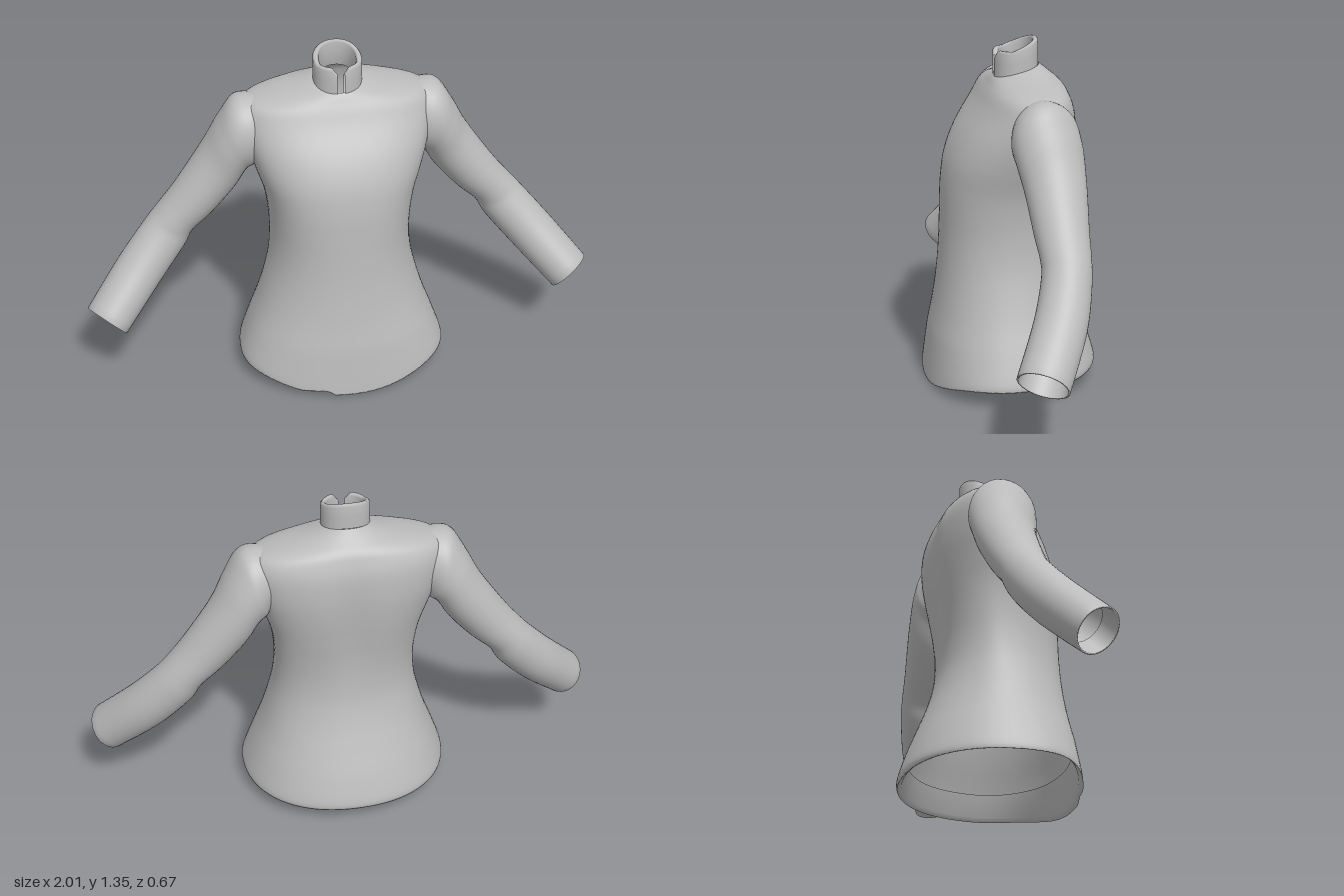
import * as THREE from 'three';

const SEG = 80;

// Smooth interpolation through rows of numbers
function smoothRows(rows, steps) {
  const out = [];
  const last = rows.length - 1;
  for (let i = 0; i < last; i++) {
    const a = rows[Math.max(i - 1, 0)], b = rows[i], c = rows[i + 1], d = rows[Math.min(i + 2, last)];
    for (let s = 0; s < steps; s++) {
      const t = s / steps, t2 = t * t, t3 = t2 * t;
      out.push(b.map((_, k) => 0.5 * (2 * b[k] + (c[k] - a[k]) * t
        + (2 * a[k] - 5 * b[k] + 4 * c[k] - d[k]) * t2 + (3 * b[k] - a[k] - 3 * c[k] + d[k]) * t3)));
    }
  }
  out.push(rows[last]);
  return out;
}

// Skin a list of loops; flip reverses the facing, closed joins each loop
function loft(loops, flip = false, closed = true) {
  const n = loops[0].length, index = [];
  for (let i = 0; i < loops.length - 1; i++) {
    for (let j = 0; j < (closed ? n : n - 1); j++) {
      const k = (j + 1) % n;
      const a = i * n + j, b = i * n + k, c = a + n, d = b + n;
      if (flip) index.push(a, b, c, b, d, c);
      else index.push(a, c, b, b, c, d);
    }
  }
  const geo = new THREE.BufferGeometry().setFromPoints(loops.flat());
  geo.setIndex(index);
  geo.computeVertexNormals();
  return geo;
}

const sgnPow = (v, p) => Math.sign(v) * Math.pow(Math.abs(v), p);

// Torso loop: y, half width, front z, back z, z of widest point, squareness, front/back tilt
function torsoLoop([y, w, zf, zb, zc, n, tilt]) {
  const pts = [];
  for (let j = 0; j < SEG; j++) {
    const t = j / SEG * Math.PI * 2, c = Math.cos(t), s = Math.sin(t);
    const x = w * sgnPow(c, 2 / n);
    let z = zc + (s > 0 ? zf - zc : zc - zb) * sgnPow(s, 2 / n);
    // shallow spine groove
    if (s < 0) z += 0.016 * Math.exp(-((x / 0.07) ** 2)) * Math.exp(-(((y - 0.88) / 0.25) ** 2));
    // hem dips to a point at the front, stepped where the front edges overlap
    let dip = s > 0 ? 0.065 * s ** 4 : 0;
    if (x < -0.08) dip = Math.min(dip, 0.04);
    const low = THREE.MathUtils.clamp(1 - (y - 0.07) / 0.13, 0, 1);
    pts.push(new THREE.Vector3(x, y - dip * low - tilt * s, z));
  }
  return pts;
}

function torsoGeometry() {
  const rows = [
    [0.07, 0.41, 0.338, -0.328, 0.05, 2.2, 0],
    [0.10, 0.407, 0.334, -0.332, 0.05, 2.2, 0],
    [0.20, 0.372, 0.318, -0.30, 0.04, 2.2, 0],
    [0.30, 0.335, 0.30, -0.26, 0.03, 2.2, 0],
    [0.40, 0.305, 0.286, -0.222, 0.02, 2.2, 0],
    [0.50, 0.282, 0.276, -0.196, 0.01, 2.25, 0],
    [0.60, 0.273, 0.27, -0.19, 0.0, 2.3, 0],
    [0.70, 0.277, 0.266, -0.197, -0.01, 2.4, 0],
    [0.80, 0.293, 0.26, -0.212, -0.02, 2.45, 0],
    [0.90, 0.325, 0.242, -0.226, -0.03, 2.45, 0],
    [1.00, 0.355, 0.198, -0.233, -0.05, 2.45, 0],
    [1.10, 0.372, 0.13, -0.228, -0.06, 2.4, 0],
    [1.16, 0.355, 0.098, -0.208, -0.06, 2.3, 0.005],
    [1.19, 0.27, 0.08, -0.19, -0.055, 2.2, 0.008],
    [1.212, 0.17, 0.068, -0.16, -0.045, 2.1, 0.012],
    [1.235, 0.092, 0.056, -0.118, -0.03, 2.1, 0.022],
  ];
  // turned-in hem
  const lining = [
    [0.17, 0.365, 0.30, -0.29, 0.05, 2.2, 0],
    [0.085, 0.393, 0.32, -0.312, 0.05, 2.2, 0],
  ];
  return loft([...lining, ...smoothRows(rows, 4)].map(torsoLoop));
}

function sleeveGeometry(flip) {
  // upper edge x, y; lower edge x, y; centre z, half depth
  const rows = smoothRows([
    [0.29, 1.175, 0.27, 0.96, -0.06, 0.10],
    [0.39, 1.175, 0.31, 0.90, -0.06, 0.128],
    [0.455, 1.085, 0.345, 0.875, -0.068, 0.128],
    [0.52, 0.965, 0.395, 0.795, -0.075, 0.116],
    [0.63, 0.805, 0.485, 0.69, -0.072, 0.102],
    [0.70, 0.718, 0.565, 0.615, -0.07, 0.093],
    [0.755, 0.655, 0.61, 0.54, -0.06, 0.092],
    [0.86, 0.535, 0.725, 0.405, -0.01, 0.097],
    [0.998, 0.375, 0.87, 0.25, 0.085, 0.097],
  ], 5);
  const centre = rows.map(r => new THREE.Vector3((r[0] + r[2]) / 2, (r[1] + r[3]) / 2, r[4]));
  const ring = (i, scale) => {
    const r = rows[i], last = rows.length - 1;
    const u = new THREE.Vector3(r[0] - r[2], r[1] - r[3], 0).multiplyScalar(scale / 2);
    const axis = centre[Math.min(i + 1, last)].clone().sub(centre[Math.max(i - 1, 0)]);
    const w = axis.cross(u).normalize().multiplyScalar(r[5] * scale);
    return Array.from({ length: 40 }, (_, j) => {
      const t = j / 40 * Math.PI * 2;
      return centre[i].clone().addScaledVector(u, Math.cos(t)).addScaledVector(w, Math.sin(t));
    });
  };
  const loops = rows.map((_, i) => ring(i, 1));
  // turned-in cuff
  loops.push(ring(rows.length - 1, 0.92), ring(rows.length - 3, 0.86));
  if (!flip) loops.forEach(l => l.forEach(p => { p.x *= -1; }));
  return loft(loops, flip);
}

// Standing collar, open in a narrow slit at the front
function collarGeometry() {
  const wall = [[0, 0], [0, 0.5], [0, 0.93], [0.006, 1], [0.016, 1], [0.022, 0.93], [0.022, 0], [0, 0]];
  const gap = 0.14, n = 56;
  const loops = wall.map(([inset, h]) => Array.from({ length: n + 1 }, (_, j) => {
    const t = Math.PI / 2 + gap + j / n * (Math.PI * 2 - gap * 2);
    const c = Math.cos(t), s = Math.sin(t);
    const bottom = 1.228 - 0.028 * s;
    // front of the rim is level, the back rises; corners beside the slit are rounded
    const round = 0.03 * Math.max(0, (s - 0.93) / 0.07);
    const top = 1.312 + 0.044 * Math.max(0, 0.35 - s) / 1.35 - round;
    return new THREE.Vector3((0.092 - inset) * sgnPow(c, 0.92),
      bottom + (top - bottom) * h, -0.027 + (0.086 - inset) * sgnPow(s, 0.92));
  }));
  return loft(loops, false, false);
}

export function createModel() {
  const group = new THREE.Group();
  const cloth = new THREE.MeshStandardMaterial({ color: 0xbcbcbc, side: THREE.DoubleSide });
  cloth.name = 'grey cloth';
  const add = (name, geometry) => {
    const mesh = new THREE.Mesh(geometry, cloth);
    mesh.name = name;
    group.add(mesh);
  };
  add('torso', torsoGeometry());
  add('leftSleeve', sleeveGeometry(true));
  add('rightSleeve', sleeveGeometry(false));
  add('collar', collarGeometry());
  return group;
}
